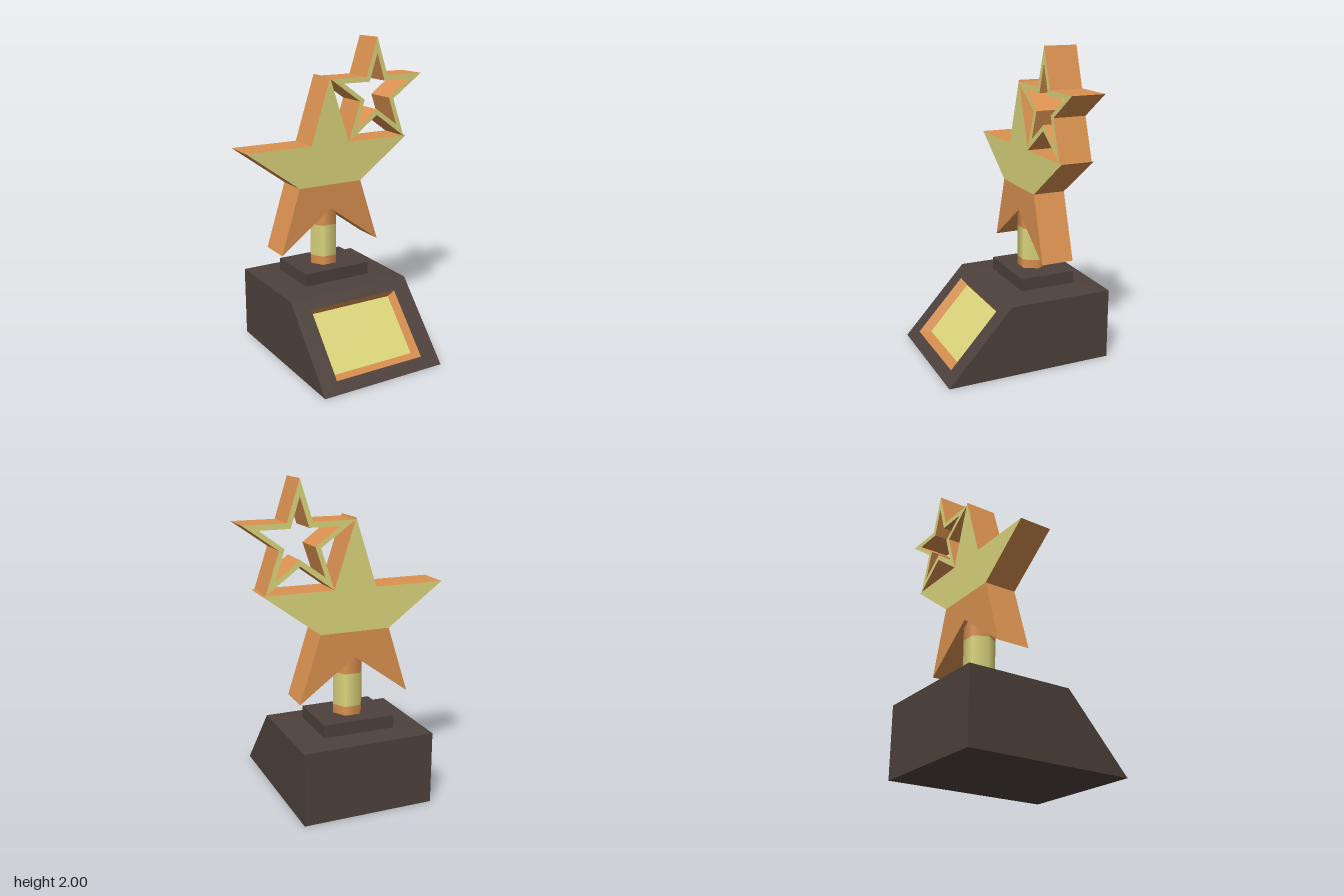
import * as THREE from 'three';

const mat = (name, color, side = THREE.FrontSide) => {
  const m = new THREE.MeshStandardMaterial({ color, side });
  m.name = name;
  return m;
};

// Quad strip joining two matching four-corner loops
const ring = (a, b) => a.map((p, i) => [p, a[(i + 1) % 4], b[(i + 1) % 4], b[i]]);

// Flat-shaded surface from a list of quads
function quads(list) {
  const pos = list.flatMap(([a, b, c, d]) => [a, b, c, a, c, d].flat());
  const g = new THREE.BufferGeometry();
  g.setAttribute('position', new THREE.Float32BufferAttribute(pos, 3));
  g.computeVertexNormals();
  return g;
}

// Horizontal or sloping rectangle, counter-clockwise from the front/top
const loop = (x0, x1, y0, z0, y1, z1) =>
  [[x0, y0, z0], [x1, y0, z0], [x1, y1, z1], [x0, y1, z1]];

export function createModel() {
  const wood = mat('dark wood', 0x4d413c);
  const bronze = mat('bronze', 0xdb9250);
  const gold = mat('gold', 0xdcd67d);
  const group = new THREE.Group();
  const add = (name, geometry, material) => {
    const m = new THREE.Mesh(geometry, material);
    m.name = name;
    group.add(m);
    return m;
  };

  // Wedge base with a sloping front and a recessed plaque
  const L = -0.475, R = 0.365;
  const foot = loop(L, R, 0, 0.543, 0, -0.545);
  const rim = loop(L, R, 0.457, 0.13, 0.457, -0.545);
  const crown = loop(-0.285, 0.175, 0.467, -0.022, 0.467, -0.39);
  const slope = loop(L, R, 0, 0.543, 0.457, 0.13);
  const opening = loop(-0.365, 0.25, 0.06, 0.489, 0.4, 0.1815);
  const plate = loop(-0.335, 0.223, 0.06, 0.415, 0.355, 0.149);
  add('base', quads([
    ...ring(foot, rim).slice(1),
    ...ring(rim, crown),
    ...ring(slope, opening),
    [...foot].reverse(),
  ]), wood);
  add('plaqueRecess', quads(ring(opening, plate)), bronze);
  add('plaque', quads([plate]), gold);

  // Step on top of the base
  add('plinth', new THREE.BoxGeometry(0.46, 0.09, 0.368), wood)
    .position.set(-0.055, 0.503, -0.206);

  // Six-sided post in three bands
  [['postFoot', 0.54, 0.605, bronze], ['postMiddle', 0.605, 0.815, gold], ['postTop', 0.815, 1, bronze]]
    .forEach(([name, y0, y1, m]) => {
      add(name, new THREE.CylinderGeometry(0.096, 0.096, y1 - y0, 6, 1, true, Math.PI / 2), m)
        .position.set(-0.055, (y0 + y1) / 2, -0.205);
    });

  const vectors = pts => pts.map(([x, y]) => new THREE.Vector2(x, y));
  const extrude = (shape, z, depth) =>
    new THREE.ExtrudeGeometry(shape, { depth, bevelEnabled: false }).translate(0, 0, z);

  // Large star: gold upper faces, bronze lower half and edges
  const upper = new THREE.Shape(vectors([
    [-0.055, 1.768], [-0.19, 1.35], [-0.635, 1.35], [-0.278, 1.088],
    [0.167, 1.088], [0.522, 1.35], [0.08, 1.35]]));
  const lower = new THREE.Shape(vectors([
    [-0.278, 1.088], [-0.41, 0.67], [-0.055, 0.93], [0.3, 0.67], [0.167, 1.088]]));
  add('largeStarUpper', extrude(upper, -0.314, 0.21), [gold, bronze]);
  add('largeStarLower', extrude(lower, -0.314, 0.21), bronze);

  // Small open star outline
  const small = new THREE.Shape(vectors([
    [0.29, 2], [0.212, 1.755], [-0.052, 1.755], [0.163, 1.602], [0.079, 1.35],
    [0.29, 1.505], [0.501, 1.35], [0.417, 1.602], [0.632, 1.755], [0.368, 1.755]]));
  small.holes.push(new THREE.Path(vectors([
    [0.29, 1.9], [0.346, 1.722], [0.535, 1.722], [0.383, 1.61], [0.442, 1.432],
    [0.29, 1.542], [0.138, 1.432], [0.197, 1.61], [0.045, 1.722], [0.234, 1.722]])));
  add('smallStar', extrude(small, -0.312, 0.21), [gold, bronze]);

  return group;
}
